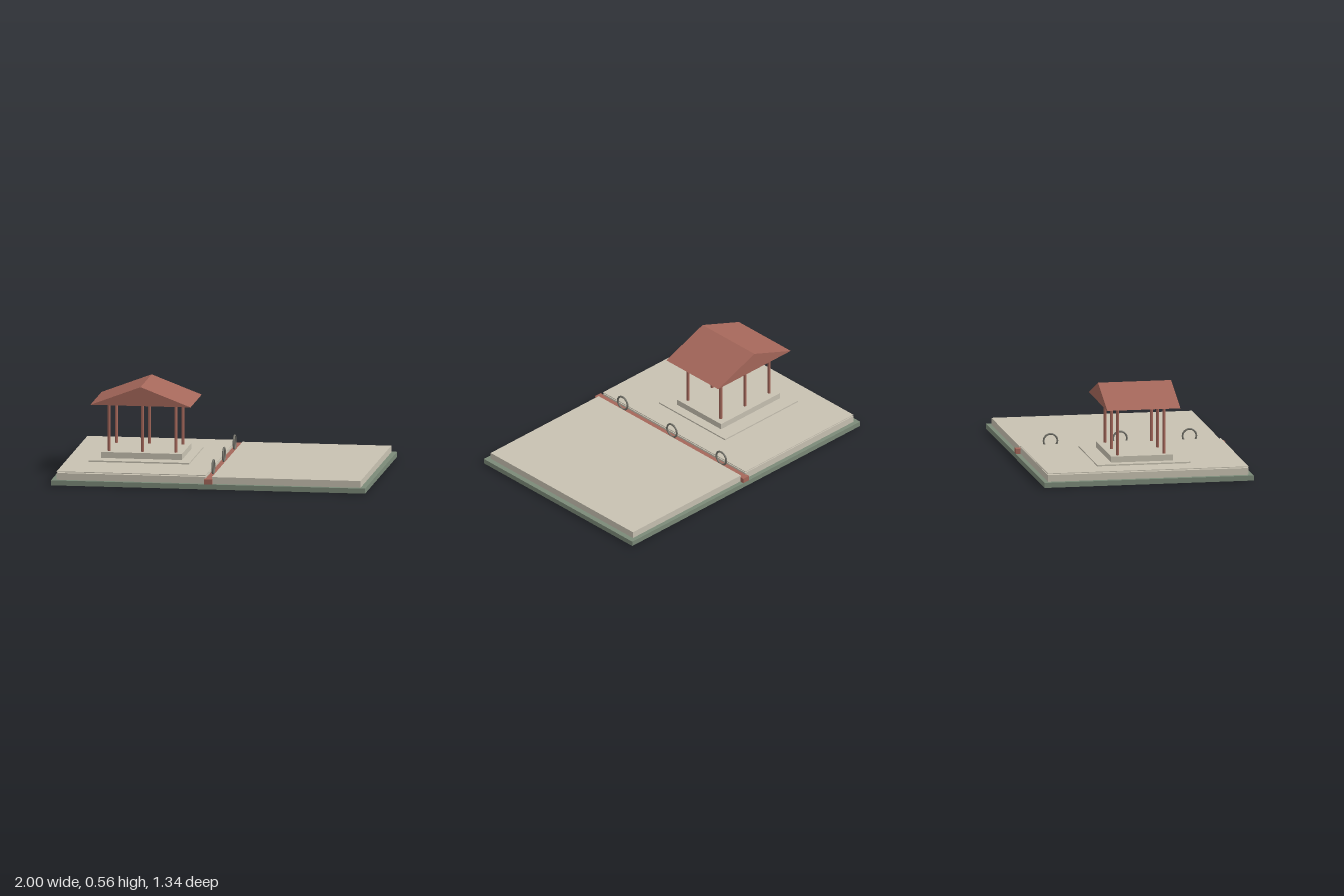
import * as THREE from 'three';

export function createModel() {
  const model = new THREE.Group();
  model.name = 'popUpBinder';

  const mat = (name, color) => {
    const m = new THREE.MeshStandardMaterial({ color });
    m.name = name;
    return m;
  };
  const paper = mat('paper', 0xc8c2b2);
  const terracotta = mat('terracotta', 0xa5675a);
  const green = mat('coverGreen', 0x7b8a78);
  const metal = mat('ringMetal', 0x76756c);

  const add = (name, geometry, material, x = 0, y = 0, z = 0, parent = model) => {
    const mesh = new THREE.Mesh(geometry, material);
    mesh.name = name;
    mesh.position.set(x, y, z);
    parent.add(mesh);
    return mesh;
  };
  // Box given by its x range, y range and full depth, centred on z = 0
  const slab = (name, material, x0, x1, y0, y1, depth, parent) =>
    add(name, new THREE.BoxGeometry(x1 - x0, y1 - y0, depth), material,
      (x0 + x1) / 2, (y0 + y1) / 2, 0, parent);

  // Open binder: cover, spine and page stacks
  slab('cover', green, -1, 1, 0, 0.032, 1.34);
  slab('spine', terracotta, -0.025, 0.025, 0.032, 0.064, 1.34);
  slab('leftPages', paper, 0.02, 0.967, 0.032, 0.075, 1.284);
  slab('rightPages', paper, -0.967, -0.02, 0.032, 0.075, 1.284);
  slab('looseSheet', paper, -0.967, -0.02, 0.081, 0.086, 1.284);

  // Binder rings
  const ring = new THREE.TorusGeometry(0.044, 0.006, 8, 32).rotateY(Math.PI / 2);
  for (const z of [-0.445, 0, 0.445]) add('binderRing', ring, metal, 0, 0.105, z);

  // Pavilion standing on the sheet
  const pavilion = new THREE.Group();
  pavilion.name = 'pavilion';
  model.add(pavilion);
  const cx = -0.496;
  slab('lowerStep', paper, cx - 0.32, cx + 0.32, 0.09, 0.099, 0.596, pavilion);
  slab('upperStep', paper, cx - 0.258, cx + 0.258, 0.099, 0.137, 0.396, pavilion);

  // Two rows of three columns
  const column = new THREE.CylinderGeometry(0.0095, 0.0095, 0.31, 8).toNonIndexed();
  column.computeVertexNormals();
  for (const dx of [-0.212, 0, 0.212])
    for (const z of [-0.148, 0.148])
      add('column', column, terracotta, cx + dx, 0.292, z, pavilion);

  // Solid gable roof with its ridge along z
  const gable = new THREE.Shape();
  gable.moveTo(-0.319, 0.443);
  gable.lineTo(0.319, 0.443);
  gable.lineTo(0, 0.564);
  gable.closePath();
  const roof = new THREE.ExtrudeGeometry(gable, { depth: 0.468, bevelEnabled: false });
  add('roof', roof, terracotta, cx, 0, -0.234, pavilion);

  return model;
}
